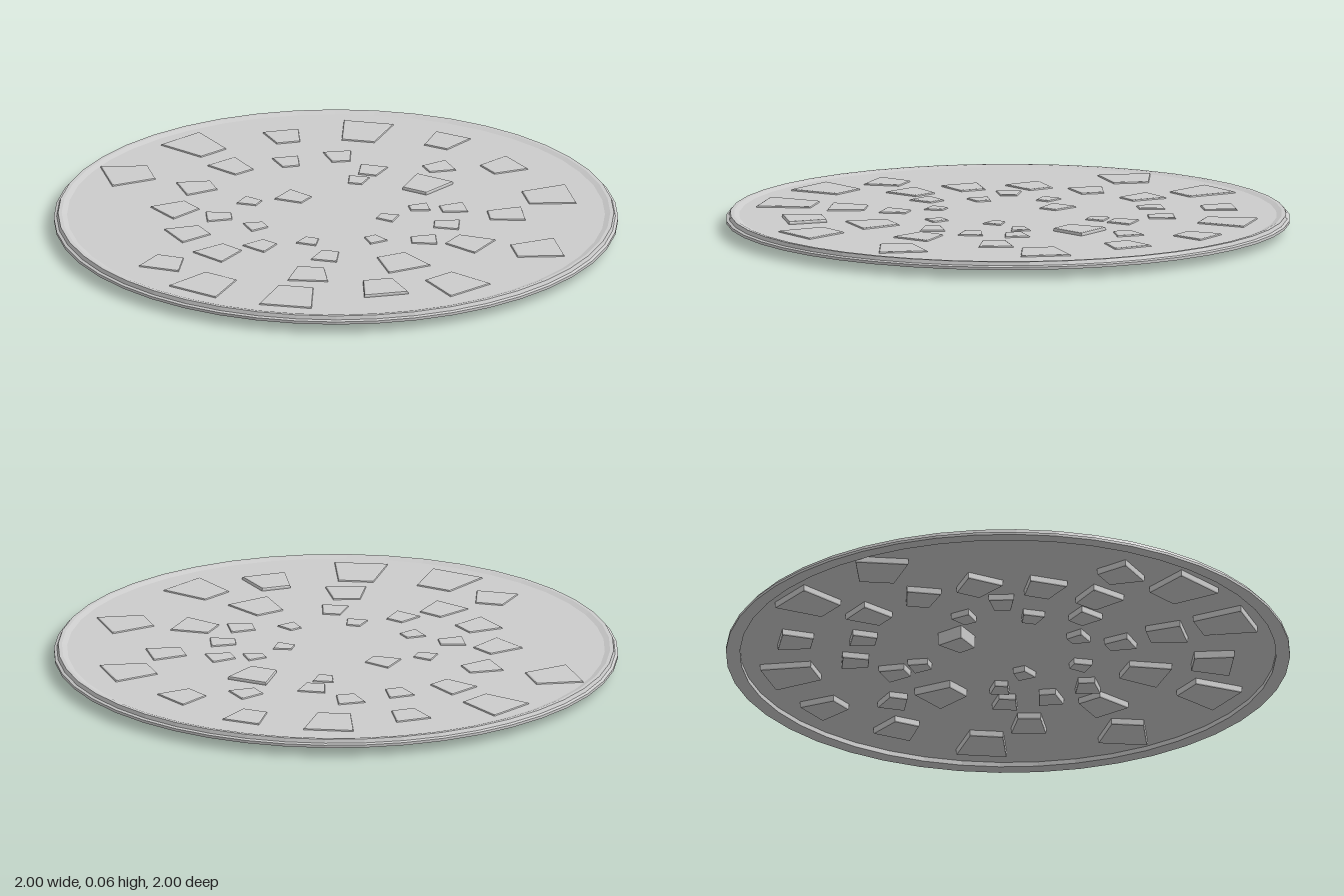
import * as THREE from 'three';

const SIDES = 44;
const DISC_TOP = 0.053;

// Each stone: x, z, outer width, radial depth, turn away from the radial direction (degrees)
const outerStones = [
  [-0.34, -0.71, 0.18, 0.18, -5], [-0.05, -0.79, 0.14, 0.13, 0], [0.25, -0.7, 0.145, 0.125, -5],
  [0.54, -0.55, 0.18, 0.165, 0], [0.78, -0.1, 0.175, 0.165, 38], [0.71, 0.33, 0.185, 0.175, 8],
  [0.29, 0.75, 0.19, 0.19, 0], [-0.025, 0.81, 0.2, 0.18, 0], [-0.26, 0.72, 0.15, 0.125, 33],
  [-0.82, 0.08, 0.19, 0.165, 40], [-0.765, -0.28, 0.18, 0.18, 4], [-0.55, -0.52, 0.13, 0.115, 0],
];
const middleStones = [
  [-0.55, -0.18, 0.125, 0.13, 0], [-0.55, 0.05, 0.125, 0.12, 45], [-0.5, 0.265, 0.14, 0.13, 40],
  [-0.34, 0.435, 0.14, 0.125, 8], [-0.15, 0.53, 0.14, 0.13, 5], [0.23, 0.535, 0.145, 0.13, 5],
  [0.52, 0.51, 0.16, 0.14, 0], [0.44, 0.265, 0.165, 0.15, 0], [0.545, -0.02, 0.145, 0.135, 0],
  [0.51, -0.32, 0.125, 0.125, 8], [0.12, -0.395, 0.15, 0.14, 18],
];
const innerStones = [
  [0.065, -0.57, 0.1, 0.095, -28], [-0.21, -0.055, 0.105, 0.1, 15], [-0.285, -0.465, 0.1, 0.095, 10],
  [-0.41, -0.325, 0.095, 0.09, -5], [-0.12, -0.415, 0.1, 0.09, 0], [-0.11, -0.31, 0.075, 0.07, 0],
  [0.32, -0.27, 0.09, 0.09, 5], [0.215, -0.21, 0.07, 0.07, 0], [0.385, -0.125, 0.09, 0.09, 12],
  [0.395, 0.04, 0.09, 0.09, 42], [0.17, -0.07, 0.07, 0.065, -10], [0.245, 0.13, 0.07, 0.065, 0],
  [0.06, 0.27, 0.075, 0.065, 0], [0.19, 0.355, 0.095, 0.095, -10], [-0.06, 0.395, 0.1, 0.09, 0],
  [-0.175, 0.25, 0.08, 0.07, 0], [-0.335, 0.245, 0.09, 0.09, 0], [-0.32, 0.065, 0.075, 0.07, -5],
];

// Keystone-shaped block, wider at its outer (+z) end, with bevelled edges
function stoneGeometry(width, depth, top, bottom) {
  const bevel = 0.006;
  const o = width / 2, i = width * 0.33, d = depth / 2;
  const shape = new THREE.Shape();
  shape.moveTo(-i, -d);
  shape.lineTo(i, -d);
  shape.lineTo(o, d);
  shape.lineTo(-o, d);
  shape.closePath();
  const geometry = new THREE.ExtrudeGeometry(shape, {
    depth: top - bottom - 2 * bevel,
    bevelThickness: bevel, bevelSize: bevel, bevelOffset: -bevel, bevelSegments: 2,
  });
  geometry.rotateX(Math.PI / 2);
  geometry.translate(0, top - bevel, 0);
  return geometry;
}

export function createModel() {
  const model = new THREE.Group();
  const material = new THREE.MeshStandardMaterial({ color: 0xcccccc, flatShading: true });

  // Thin plate that carries the stones
  const disc = new THREE.Mesh(new THREE.CylinderGeometry(0.955, 0.955, 0.004, SIDES), material);
  disc.name = 'disc';
  disc.position.y = DISC_TOP - 0.002;
  model.add(disc);

  // Stepped rim, hanging below the plate
  const profile = [
    [0.95, 0.05], [0.95, 0.032], [1, 0.032], [1, 0.042], [0.99, 0.046],
    [0.985, 0.059], [0.972, 0.059], [0.95, 0.052],
  ].map(([r, y]) => new THREE.Vector2(r, y));
  const rim = new THREE.Mesh(new THREE.LatheGeometry(profile, SIDES), material);
  rim.name = 'rim';
  model.add(rim);

  // Three rings of stones set through the plate
  const rings = { outerStones, middleStones, innerStones };
  for (const [name, stones] of Object.entries(rings)) {
    const ring = new THREE.Group();
    ring.name = name;
    stones.forEach(([x, z, width, depth, turn]) => {
      // A few stones sit higher or lower than the rest
      const raised = (x === 0.52 && z === 0.51) || x === 0.12;
      const sunken = x === -0.21;
      const top = raised ? 0.065 : 0.059;
      const bottom = sunken ? 0 : raised ? 0.02 : 0.025;
      const stone = new THREE.Mesh(stoneGeometry(width, depth, top, bottom), material);
      stone.name = 'stone';
      stone.position.set(x, 0, z);
      stone.rotation.y = Math.atan2(x, z) + THREE.MathUtils.degToRad(turn);
      ring.add(stone);
    });
    model.add(ring);
  }
  return model;
}
